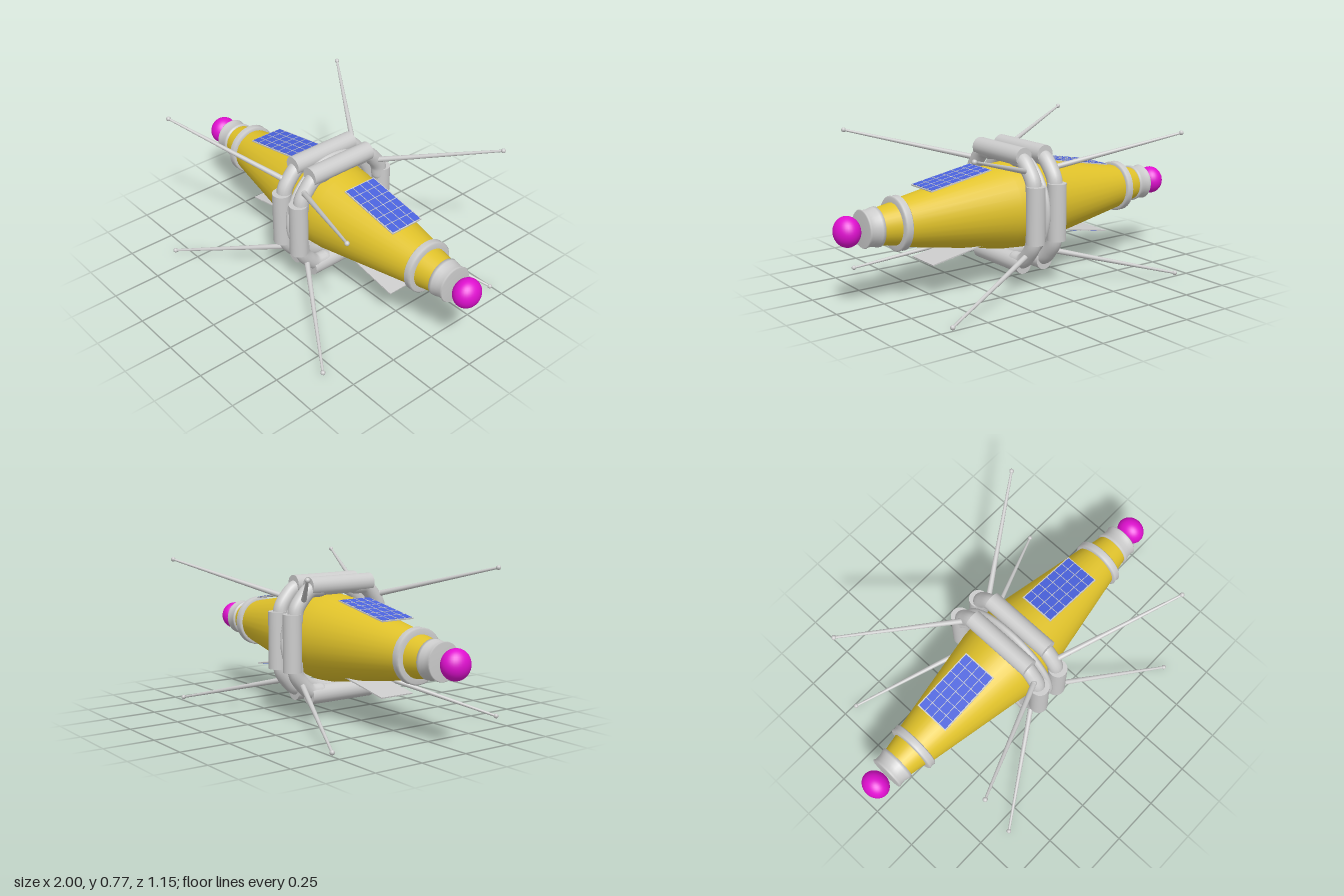
import * as THREE from 'three';

const mat = (color, side = THREE.FrontSide) => new THREE.MeshStandardMaterial({ color, side });
const grey = mat(0xcccccc);
const yellow = mat(0xe0c22a);
const magenta = mat(0xe010d0);
const blue = mat(0x4a62dc);

const v = (x, y, z) => new THREE.Vector3(x, y, z);

function add(parent, name, geometry, material, x = 0, y = 0, z = 0) {
  const mesh = new THREE.Mesh(geometry, material);
  mesh.name = name;
  mesh.position.set(x, y, z);
  parent.add(mesh);
  return mesh;
}

// Solid turned around the x axis; profile rows are [x, radius], side = +1 or -1
function turned(profile, side) {
  const pts = profile.map(([x, r]) => new THREE.Vector2(r, x));
  return new THREE.LatheGeometry(pts, 32).rotateZ(-side * Math.PI / 2);
}

// Tapered bar between two points
function bar(parent, name, a, b, ra, rb, material = grey) {
  const d = b.clone().sub(a);
  const mesh = add(parent, name, new THREE.CylinderGeometry(rb, ra, d.length(), 20), material);
  mesh.position.copy(a).add(b).multiplyScalar(0.5);
  mesh.quaternion.setFromUnitVectors(v(0, 1, 0), d.normalize());
  return mesh;
}

// Solar panel lying in the local xz plane, cells on top
function solarPanel() {
  const g = new THREE.Group();
  g.name = 'solarPanel';
  const L = 0.345, W = 0.186;
  add(g, 'panelBacking', new THREE.BoxGeometry(L, 0.006, W), grey);
  add(g, 'panelCells', new THREE.BoxGeometry(L - 0.012, 0.004, W - 0.012), blue, 0, 0.003, 0);
  for (let i = 1; i < 6; i++)
    add(g, 'cellLine', new THREE.BoxGeometry(0.003, 0.002, W), grey, -L / 2 + L * i / 6, 0.005, 0);
  for (let i = 1; i < 4; i++)
    add(g, 'cellLine', new THREE.BoxGeometry(L, 0.002, 0.003), grey, 0, 0.005, -W / 2 + W * i / 4);
  return g;
}

// One end of the hull: cone, collar, nose and beacon
function hullEnd(s) {
  const g = new THREE.Group();
  g.name = s > 0 ? 'leftHull' : 'rightHull';
  add(g, 'hullCone', turned([[0, 0.224], [0.1, 0.216], [0.67, 0.114]], s), yellow);
  add(g, 'neck', turned([[0.67, 0.108], [0.7, 0.102], [0.8, 0.084]], s), yellow);
  add(g, 'collar', turned([[0.658, 0.11], [0.658, 0.126], [0.664, 0.133], [0.68, 0.129],
    [0.694, 0.133], [0.7, 0.126], [0.7, 0.1]], s), grey);
  add(g, 'noseCap', turned([[0.785, 0.08], [0.785, 0.096], [0.8, 0.094], [0.825, 0.087],
    [0.85, 0.088], [0.86, 0.092], [0.865, 0.088], [0.865, 0]], s), grey);
  add(g, 'beacon', new THREE.SphereGeometry(0.073, 32, 20), magenta, s * 0.937).scale.x = 0.86;

  // Panels above and below, sloping with the cone
  for (const up of [1, -1]) {
    const panel = solarPanel();
    panel.position.set(s * 0.37, up * 0.179, 0);
    panel.rotation.set(up > 0 ? 0 : Math.PI, 0, -s * up * 0.178);
    g.add(panel);
  }
  return g;
}

// Ring of four fat tanks joined by curved corner pipes
function tankRing(s) {
  const g = new THREE.Group();
  g.name = s > 0 ? 'leftTankRing' : 'rightTankRing';
  const x = s * 0.065, R = 0.27, r = 0.047;
  for (const d of [1, -1]) {
    bar(g, 'levelTank', v(x, d * R, -0.175), v(x, d * R, 0.197), r, r);
    bar(g, 'uprightTank', v(x, -0.143, d * R), v(x, 0.143, d * R), r, r);
    for (const e of [1, -1]) {
      const ends = [v(x, d * 0.255, e * 0.11), v(x, d * 0.11, e * 0.255)];
      const path = new THREE.CatmullRomCurve3([ends[0], v(x, d * 0.25, e * 0.17),
        v(x, d * 0.207, e * 0.217), v(x, d * 0.16, e * 0.248), ends[1]]);
      add(g, 'cornerPipe', new THREE.TubeGeometry(path, 20, 0.039, 16), grey);
      for (const p of ends)
        add(g, 'pipeEnd', new THREE.SphereGeometry(0.039, 16, 12), grey, p.x, p.y, p.z);
    }
  }
  return g;
}

// Four splayed antennas on one side
function antennas(s) {
  const g = new THREE.Group();
  g.name = s > 0 ? 'leftAntennas' : 'rightAntennas';
  for (const up of [1, -1])
    for (const e of [1, -1]) {
      const long = up * e > 0;
      const base = v(s * 0.09, up * 0.211, e * (long ? 0.24 : 0.23));
      const tip = v(s * (long ? 0.68 : 0.61), up * 0.374, e * (long ? 0.487 : 0.565));
      bar(g, 'antennaRod', base, tip, 0.014, 0.006);
      add(g, 'antennaFoot', new THREE.SphereGeometry(0.015, 16, 12), grey, base.x, base.y, base.z);
      add(g, 'antennaTip', new THREE.SphereGeometry(0.012, 12, 8), grey, tip.x, tip.y, tip.z);
    }
  return g;
}

export function createModel() {
  const model = new THREE.Group();
  model.name = 'satellite';
  const core = new THREE.Group();
  core.name = 'core';
  core.position.set(0, 0.387, -0.011);
  const aerials = new THREE.Group();
  aerials.name = 'aerials';
  aerials.position.y = 0.387;
  model.add(core, aerials);

  // Flat central ring between the tank rings
  const ring = add(core, 'centralRing', new THREE.TorusGeometry(0.263, 0.033, 16, 48).rotateY(Math.PI / 2), grey);
  ring.scale.x = 0.6;

  for (const s of [1, -1]) {
    core.add(hullEnd(s), tankRing(s));
    aerials.add(antennas(s));
  }
  return model;
}
